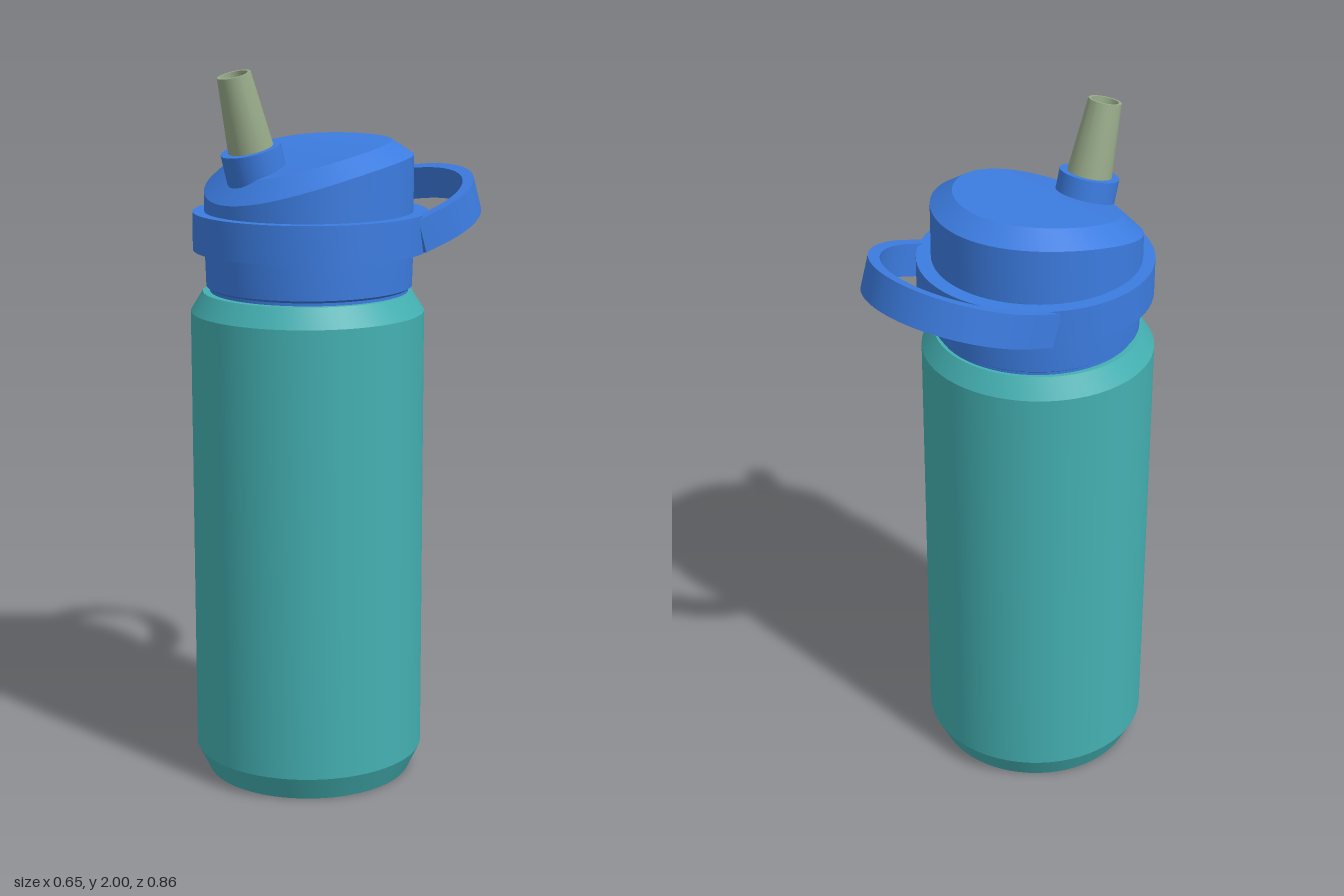
import * as THREE from 'three';
import { toCreasedNormals } from 'three/addons/utils/BufferGeometryUtils.js';

const teal = new THREE.MeshStandardMaterial({ name: 'teal', color: 0x44b0b2 });
const blue = new THREE.MeshStandardMaterial({ name: 'blue', color: 0x3c7ce0 });
const sage = new THREE.MeshStandardMaterial({ name: 'sage', color: 0x98ab8a });

// Turned part from a [radius, height] profile, listed bottom to top along the outside
function turned(name, profile, material, segments = 64, warp = null) {
  const points = profile.map(([r, y]) => new THREE.Vector2(r, y));
  const geometry = new THREE.LatheGeometry(points, segments);
  if (warp) {
    const p = geometry.attributes.position;
    for (let i = 0; i < p.count; i++) p.setY(i, warp(p.getY(i), p.getZ(i)));
  }
  const mesh = new THREE.Mesh(toCreasedNormals(geometry, 0.35), material);
  mesh.name = name;
  return mesh;
}

export function createModel() {
  const model = new THREE.Group();
  model.name = 'waterBottle';

  // Bottle body with bevelled base and shoulder
  const body = turned('body', [
    [0, 0], [0.29, 0], [0.324, 0.07], [0.324, 1.335], [0.29, 1.39], [0, 1.39],
  ], teal);
  body.position.z = 0.104;
  model.add(body);

  // Lid: collar plus a top that slopes down to the front in a gentle curve
  const lidRadius = 0.288;
  const slope = (y, z) => {
    const t = -z / lidRadius;
    return y > 1.7 ? y + 0.06 * t - 0.035 * t * t : y;
  };
  const lid = turned('lid', [
    [0, 1.385], [0.275, 1.385], [0.275, 1.398], [0.285, 1.405], [lidRadius, 1.5], [lidRadius, 1.6],
    [lidRadius, 1.74], [0.228, 1.78], [0.17, 1.78], [0.11, 1.78], [0.055, 1.78], [0, 1.78],
  ], blue, 64, slope);
  lid.position.z = 0.098;
  model.add(lid);

  // Band around the lid
  const band = turned('band', [
    [0.28, 1.505], [0.325, 1.505], [0.325, 1.61], [0.28, 1.61],
  ], blue);
  band.position.z = 0.093;
  model.add(band);

  // Carry loop: straight ends and a half-round back, tilted up behind
  const outer = 0.28, inner = 0.248, straight = 0.072, height = 0.095;
  const loop = new THREE.Shape();
  loop.moveTo(outer, 0);
  loop.lineTo(outer, straight);
  loop.absarc(0, straight, outer, 0, Math.PI, false);
  loop.lineTo(-outer, 0);
  loop.lineTo(-inner, 0);
  loop.lineTo(-inner, straight);
  loop.absarc(0, straight, inner, Math.PI, 0, true);
  loop.lineTo(inner, 0);
  const loopGeometry = new THREE.ExtrudeGeometry(loop, { depth: height, bevelEnabled: false, curveSegments: 32 });
  loopGeometry.translate(0, 0, -height / 2).rotateX(-Math.PI / 2);
  const handle = new THREE.Mesh(toCreasedNormals(loopGeometry, 0.35), blue);
  handle.name = 'carryLoop';
  handle.position.set(0, 1.555, -0.08);
  handle.rotation.x = 0.305;
  model.add(handle);

  // Mouthpiece leaning forward: socket and hollow straw
  const mouthpiece = new THREE.Group();
  mouthpiece.name = 'mouthpiece';
  mouthpiece.add(turned('socket', [[0, -0.13], [0.083, -0.13], [0.083, 0], [0, 0]], blue, 40));
  mouthpiece.add(turned('straw', [
    [0.062, -0.02], [0.062, 0], [0.046, 0.205], [0.037, 0.205], [0.037, 0.02], [0, 0.02],
  ], sage, 32));
  mouthpiece.position.set(0, 1.79, 0.288);
  mouthpiece.rotation.x = 0.253;
  model.add(mouthpiece);

  return model;
}
